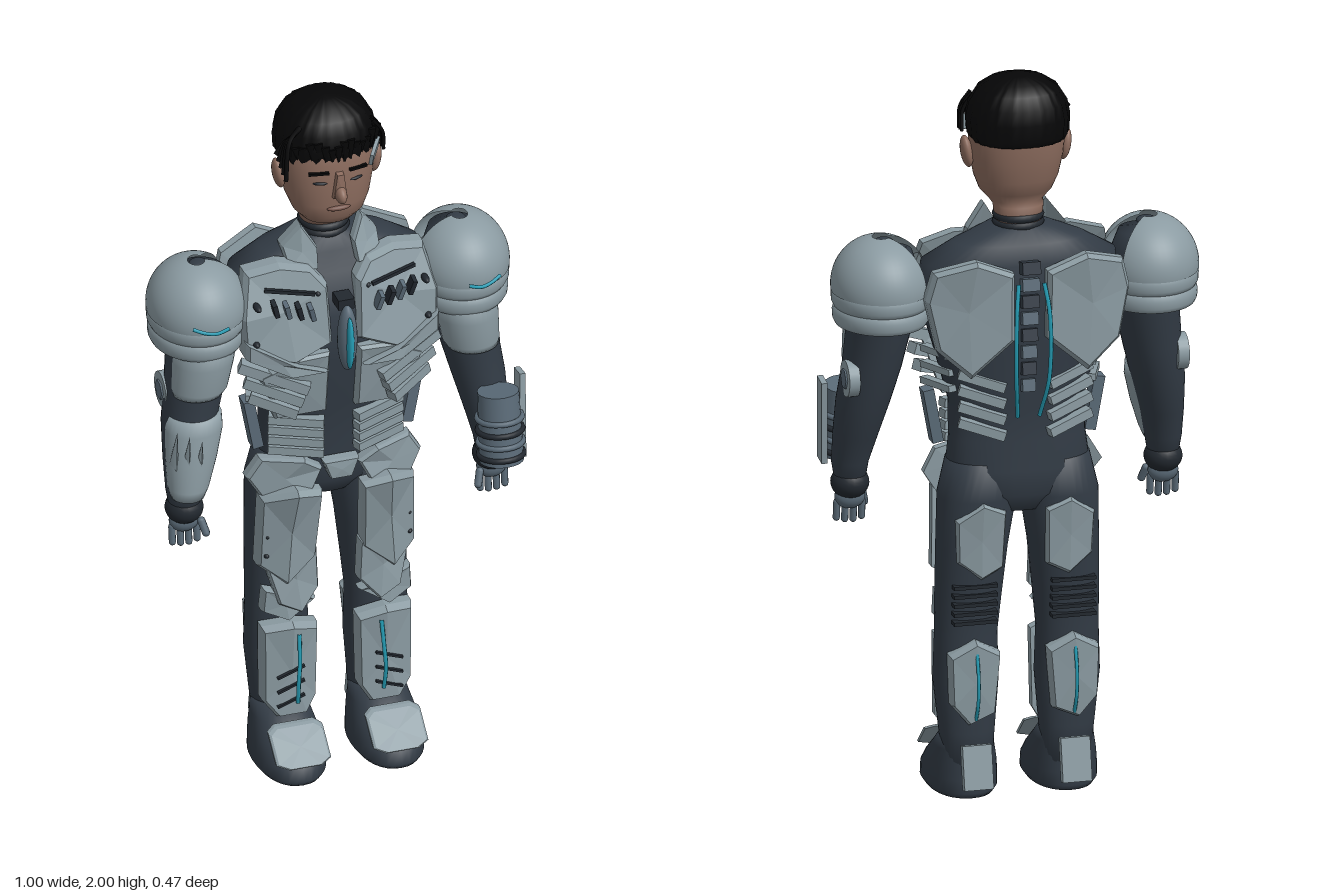
import * as THREE from 'three';

const mat = (name, color, side = THREE.FrontSide) => {
  const m = new THREE.MeshStandardMaterial({ color, side });
  m.name = name;
  return m;
};

export function createModel() {
  const root = new THREE.Group();
  root.name = 'armouredFigure';
  const suit = mat('darkSuit', 0x323b45), armor = mat('paleArmor', 0x8b9ba2, THREE.DoubleSide);
  const steel = mat('blueSteel', 0x5a6a77), black = mat('darkRubber', 0x22282f);
  const skin = mat('skin', 0x8c6c5e), lip = mat('lips', 0x75544a);
  const hairMat = mat('hair', 0x060607, THREE.DoubleSide), glow = mat('cyanLight', 0x259db5);

  const add = (name, geo, m, x = 0, y = 0, z = 0, rot = [0, 0, 0], sc = [1, 1, 1]) => {
    const mesh = new THREE.Mesh(geo, m);
    mesh.name = name;
    mesh.position.set(x, y, z);
    mesh.rotation.set(...rot);
    mesh.scale.set(...sc);
    root.add(mesh);
    return mesh;
  };
  const box = (w, h, d) => new THREE.BoxGeometry(w, h, d);
  const ball = new THREE.SphereGeometry(1, 20, 14);

  // Smooth body from rounded sections [y, cx, cz, rx, rz], listed upwards
  const loft = (name, m, rows, pow = 2, n = 32, ripple = 0) => {
    const pos = [], idx = [];
    const r = (v) => Math.sign(v) * Math.pow(Math.abs(v), 2 / pow);
    rows.forEach(([y, cx, cz, rx, rz]) => {
      for (let i = 0; i < n; i++) {
        const a = (i / n) * Math.PI * 2, k = 1 + ripple * Math.sin(i * 2.4);
        pos.push(cx + rx * k * r(Math.cos(a)), y, cz + rz * k * r(Math.sin(a)));
      }
    });
    const last = rows.length - 1;
    for (const e of [rows[0], rows[last]]) pos.push(e[1], e[0], e[2]);
    for (let i = 0; i < n; i++) {
      const j = (i + 1) % n;
      for (let k = 0; k < last; k++) {
        const a = k * n + i, b = k * n + j;
        idx.push(a, a + n, b, b, a + n, b + n);
      }
      idx.push(rows.length * n, i, j, rows.length * n + 1, last * n + j, last * n + i);
    }
    const g = new THREE.BufferGeometry();
    g.setAttribute('position', new THREE.Float32BufferAttribute(pos, 3));
    g.setIndex(idx);
    g.computeVertexNormals();
    return add(name, g, m);
  };

  // Bevelled faceted plate on a 3D outline; dir is +1 facing front, -1 facing back
  const plate = (name, m, outline, dir = 1, thick = 0.025, bulge = 0.012) => {
    let area = 0;
    outline.forEach((p, i) => {
      const q = outline[(i + 1) % outline.length];
      area += p[0] * q[1] - q[0] * p[1];
    });
    const o = area * dir < 0 ? [...outline].reverse() : outline;
    const n = o.length, c = [0, 1, 2].map((k) => o.reduce((s, p) => s + p[k], 0) / n);
    const back = o.map((p) => [p[0], p[1], p[2] - dir * thick]);
    const top = o.map((p) => p.map((v, k) => v + (c[k] - v) * 0.08 + (k === 2 ? dir * bulge : 0)));
    const peak = [c[0], c[1], c[2] + dir * bulge * 1.2], base = [c[0], c[1], c[2] - dir * thick];
    const tri = [];
    for (let i = 0; i < n; i++) {
      const j = (i + 1) % n;
      tri.push(back[i], back[j], o[j], back[i], o[j], o[i], o[i], o[j], top[j], o[i], top[j], top[i],
        top[i], top[j], peak, back[j], back[i], base);
    }
    const g = new THREE.BufferGeometry();
    g.setAttribute('position', new THREE.Float32BufferAttribute(tri.flat(), 3));
    g.computeVertexNormals();
    return add(name, g, m);
  };

  // Straight strip between two points
  const bar = (name, m, a, b, w, h) => {
    const A = new THREE.Vector3(...a), B = new THREE.Vector3(...b);
    const mesh = add(name, box(w, h, A.distanceTo(B)), m, ...A.clone().add(B).multiplyScalar(0.5).toArray());
    mesh.lookAt(B);
    return mesh;
  };
  const tube = (name, m, pts, r) => add(name, new THREE.TubeGeometry(
    new THREE.CatmullRomCurve3(pts.map((p) => new THREE.Vector3(...p))), 16, r, 6), m);

  // Torso and neck
  loft('torso', suit, [[0.8, 0, -0.05, 0.08, 0.07], [0.85, 0, -0.05, 0.17, 0.1], [0.92, 0, -0.05, 0.195, 0.105],
    [1.0, 0, -0.045, 0.185, 0.1], [1.1, 0, -0.04, 0.185, 0.11], [1.25, 0, -0.035, 0.225, 0.13],
    [1.4, 0, -0.035, 0.27, 0.14], [1.5, 0, -0.06, 0.265, 0.11], [1.55, 0, -0.065, 0.18, 0.085],
    [1.59, 0, -0.06, 0.08, 0.065]], 2.3, 40);
  for (let i = 0; i < 5; i++)
    add('neckRing', new THREE.TorusGeometry(0.058, 0.012, 8, 28), black, 0, 1.53 + i * 0.021, -0.06, [Math.PI / 2, 0, 0]);

  // Head
  loft('head', skin, [[1.58, 0, -0.062, 0.06, 0.058], [1.645, 0, -0.06, 0.068, 0.062], [1.652, 0, -0.03, 0.072, 0.07],
    [1.68, 0, -0.03, 0.097, 0.093], [1.72, 0, -0.035, 0.113, 0.106], [1.78, 0, -0.04, 0.125, 0.113],
    [1.85, 0, -0.045, 0.13, 0.118], [1.92, 0, -0.05, 0.118, 0.108], [1.96, 0, -0.05, 0.07, 0.07]], 2.2, 40);
  plate('nose', skin, [[-0.02, 1.752, 0.068], [0.02, 1.752, 0.068], [0.01, 1.83, 0.07], [-0.01, 1.83, 0.07]], 1, 0.01, 0.018);
  add('noseTip', ball, skin, 0, 1.767, 0.085, [0.3, 0, 0], [0.016, 0.024, 0.03]);
  add('mouth', ball, lip, 0, 1.715, 0.068, [0, 0, 0], [0.033, 0.008, 0.011]);
  add('templeVisor', box(0.01, 0.04, 0.07), armor, 0.112, 1.85, 0.032, [0.35, -0.55, 0]);

  // Cropped hair with a ragged fringe and a long side lock
  loft('hairCap', hairMat, [[1.83, 0, -0.06, 0.125, 0.112], [1.845, 0, -0.055, 0.134, 0.122], [1.89, 0, -0.053, 0.137, 0.124],
    [1.93, 0, -0.055, 0.129, 0.117], [1.965, 0, -0.055, 0.108, 0.1], [1.988, 0, -0.055, 0.075, 0.072], [2.0, 0, -0.055, 0.03, 0.03]], 2.2, 60, 0.022);
  for (let i = 0; i < 15; i++) {
    const t = i / 7 - 1;
    add('fringeTuft', new THREE.ConeGeometry(0.016, 0.075 + 0.02 * Math.sin(i * 5), 5), hairMat, t * 0.118, 1.872,
      0.066 - 0.055 * t * t, [Math.PI - 0.1, 0, t * 0.15]);
  }
  for (let i = 0; i < 5; i++)
    tube('sideLock', hairMat, [[-0.09 + i * 0.008, 1.95, 0.01], [-0.13, 1.93 - i * 0.006, 0.045 - i * 0.01],
      [-0.15 - i * 0.002, 1.83 + i * 0.012, 0.075 - i * 0.016]], 0.006);
  for (let i = 0; i < 3; i++)
    tube('shortLock', hairMat, [[0.11, 1.94, 0.02 - i * 0.015], [0.138, 1.9, 0.02 - i * 0.015], [0.143, 1.84, 0.015 - i * 0.015]], 0.005);

  // Centre line: sternum light, buckle, spine
  add('sternumPod', ball, steel, 0, 1.35, 0.14, [0, 0, 0], [0.027, 0.1, 0.03]);
  add('sternumLight', ball, glow, 0, 1.345, 0.162, [0, 0, 0], [0.011, 0.08, 0.02]);
  add('sternumTop', box(0.045, 0.03, 0.05), black, 0, 1.45, 0.11);
  plate('buckle', armor, [[-0.05, 0.94, 0.085], [0.05, 0.94, 0.085], [0.03, 0.885, 0.085], [-0.03, 0.885, 0.085]]);
  for (let i = 0; i < 8; i++)
    add('vertebra', box(0.05 - i * 0.002, 0.034, 0.04), i % 2 ? steel : suit, 0, 1.5 - i * 0.048,
      -0.185 + i * 0.004, [0.2, 0, 0]);

  for (const s of [1, -1]) {
    const P = (pts) => pts.map(([x, y, z]) => [x * s, y, z]);
    const rows = (list) => list.map((r) => [r[0], s * r[1], ...r.slice(2)]);
    const mplate = (name, m, pts, ...rest) => plate(name, m, P(pts), ...rest);
    const mbar = (name, m, a, b, w, h) => bar(name, m, ...P([a, b]), w, h);

    // Face details
    add('ear', ball, skin, s * 0.135, 1.79, -0.035, [0, 0, -s * 0.15], [0.016, 0.045, 0.028]);
    add('eye', ball, black, s * 0.05, 1.797, 0.063, [0, s * 0.3, 0], [0.02, 0.005, 0.008]);
    add('eyebrow', box(0.055, 0.007, 0.01), hairMat, s * 0.055, 1.83, 0.067, [0, s * 0.3, -s * 0.08]);

    // Collar and chest armour
    mplate('collarPlate', armor, [[0.055, 1.53, 0.06], [0.05, 1.585, 0.035], [0.085, 1.64, -0.005], [0.135, 1.575, -0.02], [0.13, 1.53, 0.03]]);
    mplate('chestPlate', armor, [[0.035, 1.33, 0.115], [0.04, 1.5, 0.09], [0.08, 1.545, 0.06], [0.16, 1.555, 0.035], [0.25, 1.535, 0.02],
      [0.275, 1.42, 0.07], [0.27, 1.31, 0.08], [0.14, 1.285, 0.12]], 1, 0.035, 0.02);
    mplate('lowerChestPlate', armor, [[0.04, 1.1, 0.085], [0.04, 1.3, 0.115], [0.13, 1.3, 0.12], [0.23, 1.24, 0.085], [0.18, 1.09, 0.07]]);
    mplate('chestBlade', armor, [[0.05, 1.25, 0.13], [0.14, 1.29, 0.14], [0.27, 1.36, 0.1], [0.27, 1.31, 0.1], [0.15, 1.25, 0.13]]);
    for (let i = 0; i < 4; i++) {
      add('chestClip', box(0.013, 0.045, 0.03), i % 2 ? black : steel, s * (0.095 + i * 0.032), 1.44 + i * 0.006, 0.125 - i * 0.006, [0.2, 0, -s * 0.25]);
      mbar('abdomenBar', armor, [0.045, 1.06 - i * 0.031, 0.08], [0.185, 1.07 - i * 0.031, 0.03], 0.03, 0.024);
      mbar('backRib', armor, [0.06, 1.16 - i * 0.045, -0.155], [0.18, 1.2 - i * 0.045, -0.125], 0.03, 0.025);
    }
    for (let i = 0; i < 3; i++) {
      mbar('sideRib', armor, [0.1 + i * 0.015, 1.2 - i * 0.035, 0.12], [0.275 - i * 0.015, 1.27 - i * 0.05, 0.06], 0.035, 0.03);
      mbar('flankRib', armor, [0.19, 1.24 - i * 0.045, -0.1], [0.235, 1.23 - i * 0.045, 0.03], 0.025, 0.018);
    }
    mbar('chestRail', black, [0.08, 1.485, 0.11], [0.21, 1.5, 0.075], 0.01, 0.01);
    for (const [x, y] of [[0.235, 1.46], [0.24, 1.35], [0.07, 1.48]])
      add('chestRivet', ball, black, s * x, y, 0.09, [0, 0, 0], [0.01, 0.01, 0.022]);
    add('waistFin', box(0.03, 0.15, 0.045), steel, s * 0.222, 1.05, 0, [0, 0, -s * 0.18]);

    // Back armour and spine cables
    mplate('backPlate', armor, [[0.045, 1.49, -0.195], [0.15, 1.535, -0.205], [0.26, 1.5, -0.165], [0.28, 1.42, -0.155],
      [0.25, 1.28, -0.165], [0.16, 1.2, -0.18], [0.045, 1.3, -0.19]], -1, 0.025, 0.014);
    tube('spineCable', glow, P([[0.035, 1.46, -0.2], [0.045, 1.38, -0.22], [0.045, 1.2, -0.216], [0.03, 1.08, -0.17]]), 0.006);

    // Slotted shoulder dome with two lower bands
    const start = s > 0 ? 0.08 : Math.PI + 0.72;
    add('shoulderDome', new THREE.SphereGeometry(1, 40, 14, start, Math.PI * 2 - 0.8, 0.17, 1.5), armor, s * 0.368, 1.435, -0.025, [0, 0, 0], [0.133, 0.135, 0.15]);
    const band = [[0.115, -0.027], [0.125, -0.024], [0.131, -0.012], [0.132, 0.008], [0.127, 0.026], [0.115, 0.029]].map((p) => new THREE.Vector2(...p));
    [[1.405, 1], [1.357, 0.975]].forEach(([y, k]) =>
      add('shoulderBand', new THREE.LatheGeometry(band, 40), armor, s * 0.368, y, -0.025, [0, 0, 0], [k, 1, k * 1.13]));
    add('shoulderCap', ball, suit, s * 0.36, 1.553, -0.028, [0, 0, 0], [0.027, 0.012, 0.027]);
    tube('shoulderLight', glow, P([[0.335, 1.455, 0.157], [0.37, 1.445, 0.157], [0.4, 1.447, 0.148], [0.43, 1.457, 0.135]]), 0.005);

    // Arm, with pale sleeve faces set forward of the suit
    loft('arm', suit, rows([[0.86, 0.43, 0.06, 0.04, 0.04], [0.92, 0.43, 0.06, 0.05, 0.053], [1.0, 0.42, 0.042, 0.06, 0.07],
      [1.1, 0.405, 0.02, 0.072, 0.083], [1.2, 0.385, 0.005, 0.079, 0.09], [1.33, 0.365, -0.005, 0.088, 0.105],
      [1.45, 0.36, -0.02, 0.1, 0.11], [1.53, 0.355, -0.03, 0.07, 0.07]]));
    loft('upperArmGuard', armor, rows([[1.2, 0.385, 0.035, 0.07, 0.065], [1.22, 0.38, 0.035, 0.077, 0.075],
      [1.3, 0.37, 0.04, 0.083, 0.075], [1.37, 0.36, 0.04, 0.083, 0.075]]));
    add('wristCuff', ball, black, s * 0.43, 0.86, 0.06, [0, 0, 0], [0.052, 0.045, 0.052]);
    add('elbowDisc', new THREE.CylinderGeometry(0.05, 0.05, 0.03, 24), armor, s * 0.452, 1.18, -0.03, [0, 0, Math.PI / 2]);
    add('elbowHub', new THREE.CylinderGeometry(0.028, 0.028, 0.036, 6), steel, s * 0.454, 1.18, -0.03, [0, 0, Math.PI / 2]);

    // Hand
    add('palm', ball, steel, s * 0.43, 0.82, 0.06, [0, 0, 0], [0.042, 0.034, 0.03]);
    for (let i = 0; i < 4; i++)
      add('finger', new THREE.CapsuleGeometry(0.01, 0.045, 4, 8), steel, s * (0.396 + i * 0.023), 0.773 + 0.006 * Math.abs(i - 1.4), 0.065, [-0.12, 0, 0]);
    add('thumb', new THREE.CapsuleGeometry(0.011, 0.035, 4, 8), steel, s * 0.385, 0.805, 0.09, [-0.4, 0, -s * 0.25]);

    // Leg and boot
    loft('leg', suit, rows([[0.08, 0.135, -0.045, 0.065, 0.06], [0.18, 0.137, -0.042, 0.075, 0.066], [0.32, 0.139, -0.04, 0.088, 0.076],
      [0.45, 0.139, -0.042, 0.084, 0.073], [0.55, 0.134, -0.045, 0.089, 0.08], [0.7, 0.125, -0.05, 0.096, 0.092],
      [0.84, 0.112, -0.053, 0.106, 0.102], [0.94, 0.1, -0.05, 0.095, 0.09]]), 2.2);
    loft('boot', suit, rows([[0, 0.137, 0.04, 0.085, 0.143], [0.015, 0.137, 0.04, 0.096, 0.152], [0.05, 0.137, 0.037, 0.096, 0.145],
      [0.09, 0.137, 0.015, 0.09, 0.12], [0.13, 0.137, -0.012, 0.08, 0.09], [0.165, 0.137, -0.035, 0.072, 0.066]]), 2.2);
    mplate('toePlate', armor, [[0.06, 0.075, 0.185], [0.09, 0.065, 0.2], [0.18, 0.065, 0.2], [0.212, 0.075, 0.185],
      [0.212, 0.135, 0.115], [0.19, 0.145, 0.1], [0.08, 0.145, 0.1], [0.06, 0.135, 0.115]], 1, 0.014, 0.006);
    add('heelPlate', box(0.08, 0.12, 0.025), armor, s * 0.135, 0.1, -0.145, [0.2, 0, 0]);

    // Hip, thigh, knee and shin armour
    mplate('hipPlate', armor, [[0.05, 0.92, 0.08], [0.1, 0.955, 0.085], [0.21, 0.95, 0.03], [0.245, 0.89, 0.02], [0.2, 0.82, 0.045], [0.09, 0.84, 0.09]]);
    mplate('thighPlate', armor, [[0.065, 0.64, 0.06], [0.055, 0.86, 0.095], [0.13, 0.88, 0.115], [0.215, 0.84, 0.05],
      [0.22, 0.62, 0.035], [0.15, 0.57, 0.075]], 1, 0.03, 0.02);
    mplate('lowerThighPlate', armor, [[0.055, 0.54, 0.06], [0.06, 0.66, 0.06], [0.13, 0.68, 0.08], [0.2, 0.62, 0.05], [0.17, 0.51, 0.075], [0.11, 0.48, 0.085]]);
    mplate('kneePlate', armor, [[0.06, 0.5, 0.05], [0.12, 0.53, 0.075], [0.205, 0.55, 0.05], [0.21, 0.48, 0.045], [0.14, 0.45, 0.065]], 1, 0.025);
    mplate('shinPlate', armor, [[0.055, 0.42, 0.05], [0.13, 0.445, 0.07], [0.21, 0.43, 0.045], [0.208, 0.2, 0.045],
      [0.17, 0.15, 0.06], [0.09, 0.15, 0.06], [0.06, 0.2, 0.05]], 1, 0.03, 0.02);
    tube('shinLight', glow, P([[0.115, 0.41, 0.083], [0.118, 0.33, 0.098], [0.122, 0.27, 0.1], [0.12, 0.2, 0.088]]), 0.006);
    for (let i = 0; i < 3; i++) {
      mbar('shinGroove', black, [0.1, 0.22 + i * 0.045, 0.083], [0.175, 0.19 + i * 0.045, 0.08], 0.01, 0.006);
      add('thighRivet', ball, black, s * (0.2 - i * 0.002), 0.66 + i * 0.06, 0.058, [0, 0, 0], [0.008, 0.008, 0.014]);
    }

    // Back of the leg
    mplate('rearThighPlate', armor, [[0.06, 0.65, -0.13], [0.055, 0.81, -0.145], [0.12, 0.84, -0.155], [0.19, 0.79, -0.135],
      [0.185, 0.67, -0.125], [0.12, 0.62, -0.135]], -1);
    for (let i = 0; i < 5; i++)
      add('kneeRib', box(0.12, 0.01, 0.03), black, s * 0.135, 0.5 + i * 0.025, -0.12);
    mplate('calfPlate', armor, [[0.065, 0.41, -0.12], [0.135, 0.45, -0.13], [0.205, 0.41, -0.12], [0.2, 0.27, -0.12],
      [0.15, 0.21, -0.115], [0.08, 0.24, -0.115]], -1, 0.025, 0.022);
    tube('calfLight', glow, P([[0.135, 0.42, -0.145], [0.135, 0.35, -0.163], [0.135, 0.28, -0.158], [0.135, 0.23, -0.135]]), 0.005);
  }

  // Left forearm pod with ribbed barrel, leaning forward at its foot
  add('podBody', new THREE.CylinderGeometry(0.056, 0.06, 0.2, 20), steel, 0.42, 1.005, 0.16, [-0.15, 0, 0]);
  for (let i = 0; i < 4; i++)
    add('podRing', new THREE.TorusGeometry(0.06, 0.008, 8, 24), i % 2 ? steel : black, 0.42, 0.925 + i * 0.035, 0.172 - i * 0.005, [Math.PI / 2 - 0.15, 0, 0]);
  add('podTip', new THREE.CylinderGeometry(0.03, 0.028, 0.006, 16), glow, 0.42, 0.904, 0.175, [-0.15, 0, 0]);
  add('podShield', box(0.016, 0.24, 0.05), armor, 0.487, 1.015, 0.13, [-0.15, 0, -0.04]);

  // Right forearm guard and blades
  loft('forearmGuard', armor, [[0.91, -0.428, 0.085, 0.045, 0.045], [0.94, -0.425, 0.08, 0.056, 0.055], [1.02, -0.412, 0.065, 0.07, 0.062],
    [1.1, -0.4, 0.052, 0.078, 0.066], [1.14, -0.395, 0.045, 0.072, 0.062]]);
  for (let i = 0; i < 3; i++)
    add('forearmBlade', new THREE.ConeGeometry(0.026, 0.17, 4), armor, -0.475 + i * 0.035, 1.09 - i * 0.02, 0.125, [0.5, 0, 0.1], [0.5, 1, 1]);

  return root;
}
